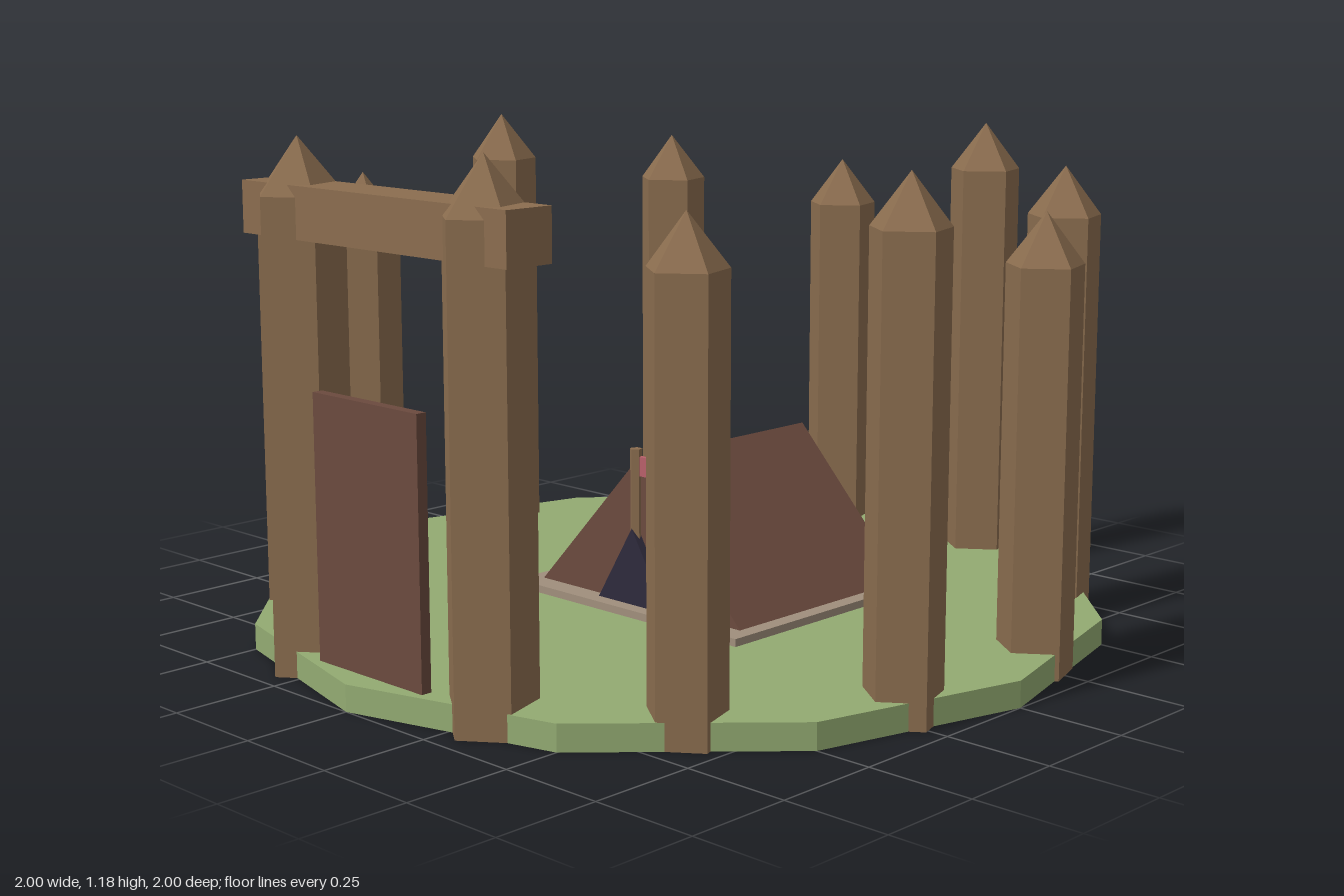
import * as THREE from 'three';

const mat = (color) => new THREE.MeshStandardMaterial({ color, flatShading: true });
const grass = mat(0x93ab72), wood = mat(0x8b6d4f), hide = mat(0x6b4a3e);
const stone = mat(0xa08f7c), dark = mat(0x2e2a3c), red = mat(0xb8606a);

function add(parent, name, geometry, material, x, y, z) {
  const mesh = new THREE.Mesh(geometry, material);
  mesh.name = name;
  mesh.position.set(x, y, z);
  parent.add(mesh);
  return mesh;
}

// Five-sided log standing on the ground, with a sharpened top
function stake(name, radius, height, tip, x, z) {
  const g = new THREE.Group();
  g.name = name;
  const shaft = height - tip;
  add(g, 'shaft', new THREE.CylinderGeometry(radius, radius, shaft, 5), wood, 0, shaft / 2, 0);
  add(g, 'point', new THREE.ConeGeometry(radius, tip, 5), wood, 0, shaft + tip / 2, 0);
  g.position.set(x, 0, z);
  return g;
}

// Upright triangle extruded towards +z, its base centred on the origin
function wedge(width, height, depth) {
  const s = new THREE.Shape();
  s.moveTo(-width / 2, 0);
  s.lineTo(width / 2, 0);
  s.lineTo(0, height);
  s.closePath();
  return new THREE.ExtrudeGeometry(s, { depth, bevelEnabled: false });
}

export function createModel() {
  const model = new THREE.Group();
  model.name = 'palisadeCamp';

  // Ground disc
  add(model, 'ground', new THREE.CylinderGeometry(1, 1, 0.06, 12), grass, 0, 0.03, 0);

  // Ring of stakes in three repeating heights, open at the gate
  const palisade = new THREE.Group();
  palisade.name = 'palisade';
  const heights = [1.14, 1.075, 1.02];
  for (let i = 0; i < 12; i++) {
    if (i === 2 || i === 3) continue;
    const a = (i + 0.5) * Math.PI / 6;
    palisade.add(stake('stake', 0.089, heights[i % 3], 0.115, 0.9 * Math.cos(a), 0.9 * Math.sin(a)));
  }
  model.add(palisade);

  // Gate: two taller posts, crossbeam and door panel
  const gate = new THREE.Group();
  gate.name = 'gate';
  for (const side of [-1, 1]) gate.add(stake('gatePost', 0.1, 1.18, 0.125, side * 0.3, 0.86));
  add(gate, 'crossbeam', new THREE.BoxGeometry(0.85, 0.115, 0.12), wood, 0, 1.0225, 0.855);
  add(gate, 'gatePanel', new THREE.BoxGeometry(0.34, 0.59, 0.025), hide, 0, 0.355, 0.9225);
  model.add(gate);

  // Tent on its low platform
  const tent = new THREE.Group();
  tent.name = 'tent';
  tent.position.x = 0.05;
  add(tent, 'platform', new THREE.BoxGeometry(0.715, 0.025, 0.685), stone, 0, 0.0655, -0.1025);
  add(tent, 'tentRoof', wedge(0.645, 0.345, 0.575), hide, 0, 0.075, -0.39);
  add(tent, 'tentDoor', wedge(0.22, 0.182, 0.03), dark, 0, 0.077, 0.175);

  // Flag in front of the tent
  add(tent, 'flagPole', new THREE.CylinderGeometry(0.015, 0.015, 0.37, 5), wood, 0, 0.26, 0.19);
  add(tent, 'flag', new THREE.BoxGeometry(0.09, 0.045, 0.012), red, 0.045, 0.405, 0.187);
  model.add(tent);

  return model;
}
